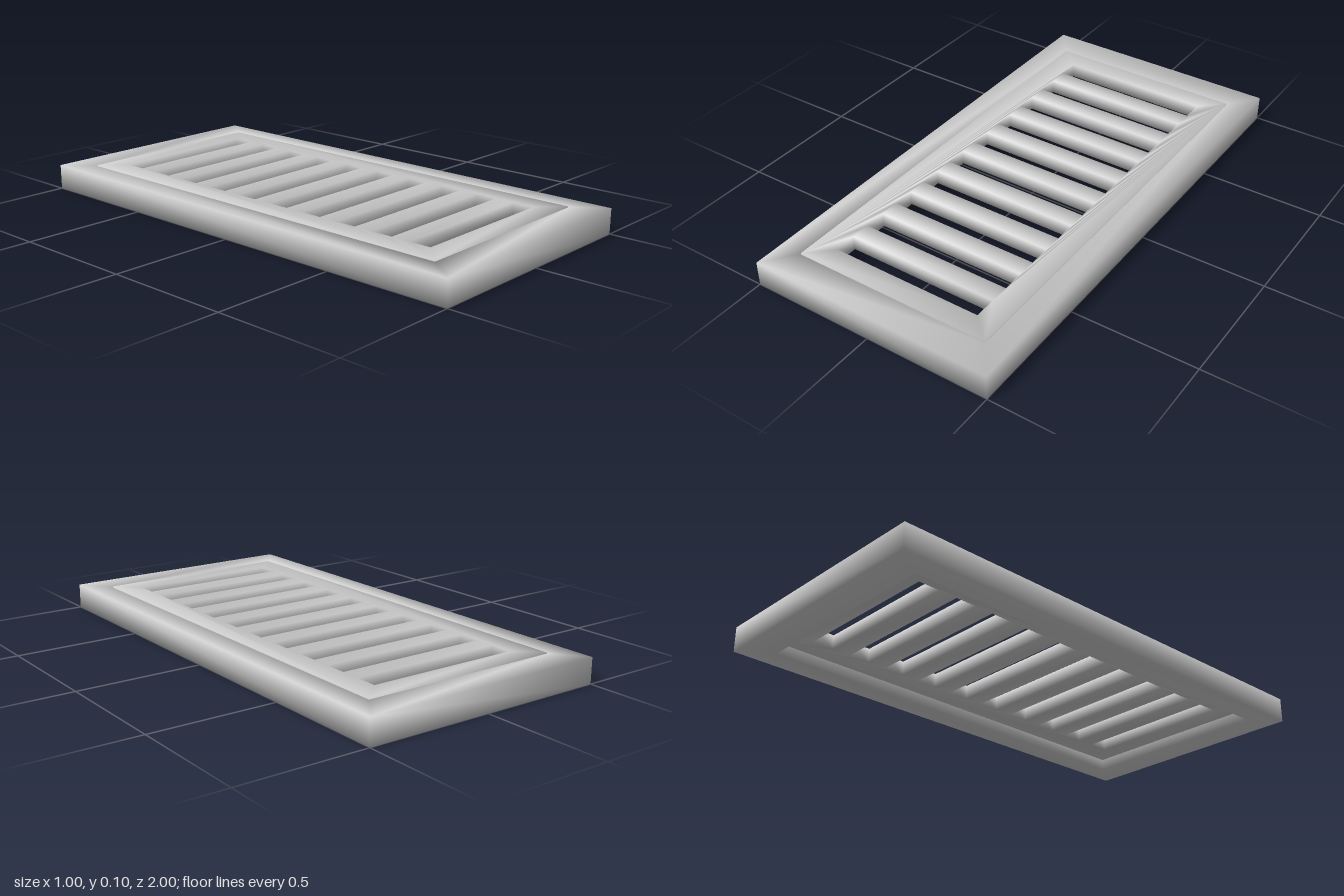
import * as THREE from 'three';
import { mergeVertices } from 'three/addons/utils/BufferGeometryUtils.js';

// Adds the corners of a rectangle to a shape or path.
function rect(path, cx, cy, halfW, halfH) {
  path.moveTo(cx - halfW, cy - halfH);
  path.lineTo(cx + halfW, cy - halfH);
  path.lineTo(cx + halfW, cy + halfH);
  path.lineTo(cx - halfW, cy + halfH);
  path.closePath();
  return path;
}

// Flat plate lying in xz between two heights, with welded smooth normals.
function plate(name, shape, bottom, top) {
  let geometry = new THREE.ExtrudeGeometry(shape, { depth: top - bottom, bevelEnabled: false });
  geometry.rotateX(-Math.PI / 2);
  geometry.translate(0, bottom, 0);
  geometry.deleteAttribute('normal');
  geometry.deleteAttribute('uv');
  geometry = mergeVertices(geometry, 1e-5);
  geometry.computeVertexNormals();
  const mesh = new THREE.Mesh(geometry, new THREE.MeshStandardMaterial({ color: 0xcccccc }));
  mesh.name = name;
  return mesh;
}

export function createModel() {
  const group = new THREE.Group();
  group.name = 'floorVent';

  // Outer frame with a rectangular opening
  const frame = rect(new THREE.Shape(), 0, 0, 0.5, 1);
  frame.holes.push(rect(new THREE.Path(), 0, 0, 0.407, 0.878));
  group.add(plate('frame', frame, 0, 0.1));

  // Thinner grille panel set into the opening, pierced by ten slots
  const grille = rect(new THREE.Shape(), 0, 0, 0.404, 0.875);
  const slots = 10;
  const pitch = 0.165;
  for (let i = 0; i < slots; i++) {
    const z = (i - (slots - 1) / 2) * pitch;
    grille.holes.push(rect(new THREE.Path(), 0, z, 0.31, 0.044));
  }
  group.add(plate('grille', grille, 0.045, 0.103));

  return group;
}
